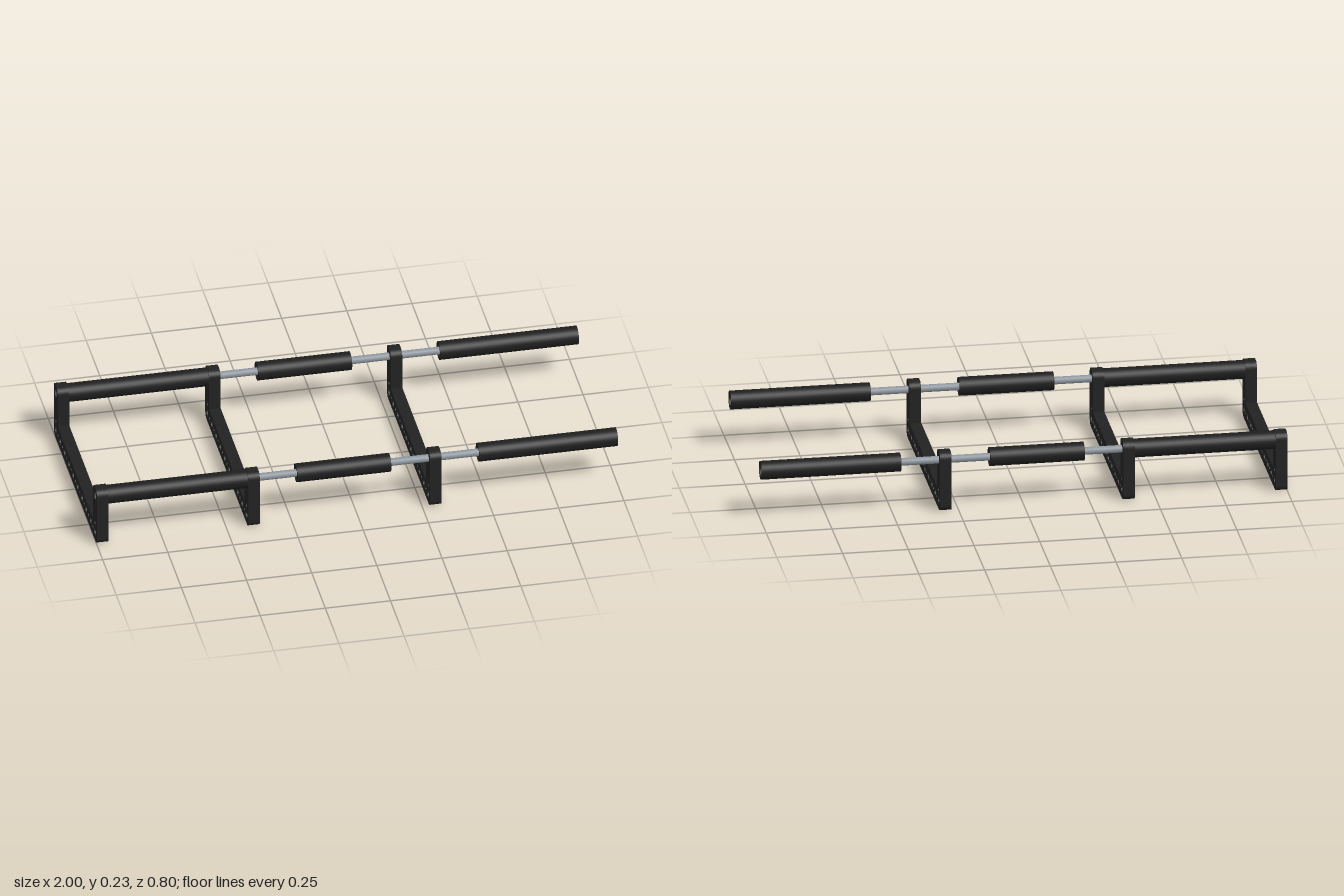
import * as THREE from 'three';

const ROD_Y = 0.198, ROD_Z = 0.36;

export function createModel() {
  const model = new THREE.Group();
  const plastic = new THREE.MeshStandardMaterial({ color: 0x222222 });
  plastic.name = 'black plastic';
  const foam = new THREE.MeshStandardMaterial({ color: 0x1e1e1e });
  foam.name = 'black tube';
  const steel = new THREE.MeshStandardMaterial({ color: 0x8d959d });
  steel.name = 'steel';

  function add(geometry, material, name) {
    const mesh = new THREE.Mesh(geometry, material);
    mesh.name = name;
    model.add(mesh);
    return mesh;
  }

  // U-shaped bracket outline; shape x becomes -z once turned to face along x
  const W = 0.398, IN = 0.324, TOP = 0.235, BAR = 0.074, R = 0.027;
  const outline = new THREE.Shape();
  outline.moveTo(-W + R, 0);
  outline.lineTo(W - R, 0);
  outline.absarc(W - R, R, R, -Math.PI / 2, 0, false);
  outline.lineTo(W, TOP - R);
  outline.absarc(W - R, TOP - R, R, 0, Math.PI / 2, false);
  outline.lineTo(IN + R, TOP);
  outline.absarc(IN + R, TOP - R, R, Math.PI / 2, Math.PI, false);
  outline.lineTo(IN, BAR);
  outline.lineTo(-IN, BAR);
  outline.lineTo(-IN, TOP - R);
  outline.absarc(-IN - R, TOP - R, R, 0, Math.PI / 2, false);
  outline.lineTo(-W + R, TOP);
  outline.absarc(-W + R, TOP - R, R, Math.PI / 2, Math.PI, false);
  outline.lineTo(-W, R);
  outline.absarc(-W + R, R, R, Math.PI, Math.PI * 1.5, false);

  // Alternating large and small holes along the bar, plus holes in the arms
  function hole(x, y, r) {
    const path = new THREE.Path();
    path.absarc(x, y, r, 0, Math.PI * 2, true);
    outline.holes.push(path);
  }
  for (let i = -9; i <= 9; i++) hole(i * 0.04, 0.038, i % 2 ? 0.017 : 0.0095);
  for (const s of [-1, 1]) {
    hole(s * ROD_Z, 0.078, 0.0095);
    hole(s * ROD_Z, ROD_Y, 0.0165);
  }

  const bracketGeo = new THREE.ExtrudeGeometry(outline, {
    depth: 0.044, bevelEnabled: false, curveSegments: 10,
  });
  bracketGeo.rotateY(Math.PI / 2);
  [['endBracket', -1], ['middleBracket', -0.419], ['frontBracket', 0.278]].forEach(([name, x]) => {
    add(bracketGeo, plastic, name).position.x = x;
  });

  // Hollow sleeve along x, from x0 to x1
  function sleeveGeometry(x0, x1, inner, outer) {
    const profile = [[inner, x0], [outer, x0], [outer, x0], [outer, x1], [outer, x1], [inner, x1], [inner, x1], [inner, x0]];
    const parts = [];
    for (let i = 0; i < profile.length; i += 2) {
      const pair = [profile[i], profile[i + 1]].map(([r, y]) => new THREE.Vector2(r, y));
      parts.push(new THREE.LatheGeometry(pair, 32).rotateZ(-Math.PI / 2));
    }
    return parts;
  }

  for (const s of [-1, 1]) {
    const side = s > 0 ? 'front' : 'back';
    const place = (mesh, x = 0) => mesh.position.set(x, ROD_Y, s * ROD_Z);

    // Sleeves over the rod
    [['Spacer', -0.956, -0.419], ['MiddleGrip', -0.23, 0.13], ['EndGrip', 0.468, 1]].forEach(([name, x0, x1]) => {
      for (const geo of sleeveGeometry(x0, x1, 0.028, 0.0355)) place(add(geo, foam, side + name));
    });

    // Threaded rod running the full length
    const rod = new THREE.CylinderGeometry(0.0145, 0.0145, 1.89, 24).rotateZ(Math.PI / 2);
    place(add(rod, steel, side + 'Rod'), -0.053);

    // Hex nuts seated inside the sleeves
    const nut = new THREE.CylinderGeometry(0.0275, 0.0275, 0.025, 6).toNonIndexed();
    nut.computeVertexNormals();
    nut.rotateZ(Math.PI / 2);
    for (const x of [-0.215, 0.115, 0.485]) place(add(nut, plastic, side + 'Nut'), x);
  }
  return model;
}
